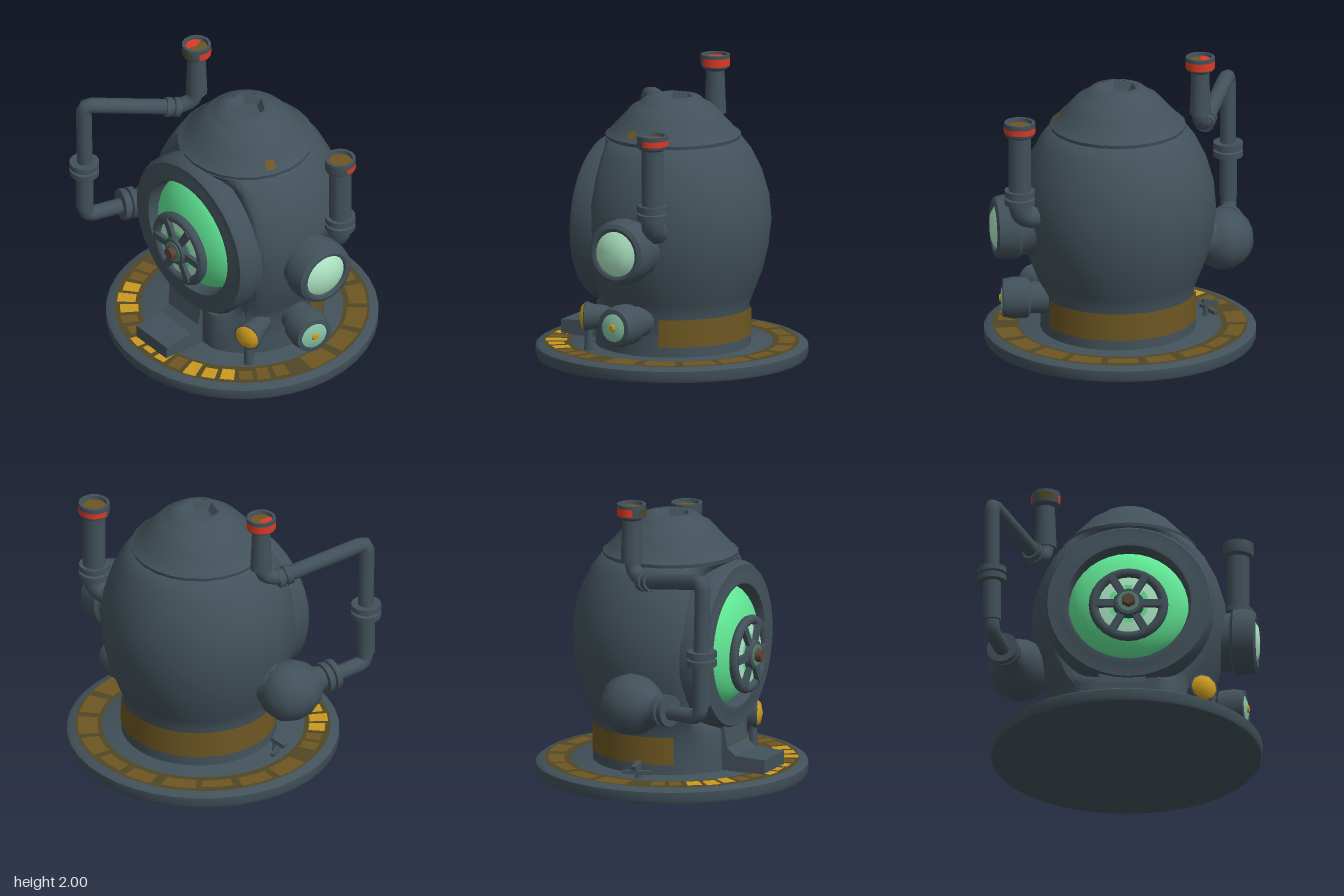
import * as THREE from 'three';
import { toCreasedNormals } from 'three/addons/utils/BufferGeometryUtils.js';

const mat = (name, color) => {
  const m = new THREE.MeshStandardMaterial({ color });
  m.name = name;
  return m;
};

export function createModel() {
  const slate = mat('slate metal', 0x42515a);
  const green = mat('bright green glass', 0x60e694);
  const pale = mat('pale green glass', 0xaee6c4);
  const mid = mat('mid green glass', 0x88c8a6);
  const teal = mat('dull teal', 0x55806f);
  const red = mat('red paint', 0xdc3a24);
  const yellow = mat('yellow paint', 0xc9991f);
  const brown = mat('old gold', 0x6d5622);
  const olive = mat('dark olive', 0x4f4724);
  const rust = mat('rust', 0x5c4338);

  const root = new THREE.Group();
  root.name = 'divingHelmet';
  const UP = new THREE.Vector3(0, 1, 0);
  const Y = [0, 1, 0], Z = [0, 0, 1];
  const vec2 = pts => pts.map(p => new THREE.Vector2(...p));

  const add = (name, geo, material, pos = [0, 0, 0], parent = root) => {
    const mesh = new THREE.Mesh(geo, material);
    mesh.name = name;
    mesh.position.set(...pos);
    parent.add(mesh);
    return mesh;
  };
  // Turned part: profile of [radius, height] along the given axis
  const turned = (name, pts, material, pos, axis = Y, segs = 24, crease = 0.7, parent = root) => {
    const lathe = new THREE.LatheGeometry(vec2(pts), segs);
    const mesh = add(name, toCreasedNormals(lathe, crease), material, pos, parent);
    mesh.quaternion.setFromUnitVectors(UP, new THREE.Vector3(...axis).normalize());
    return mesh;
  };
  // Pipe through points with rounded corners
  const pipe = (name, pts, radius, bend = 0.09) => {
    const v = pts.map(p => new THREE.Vector3(...p));
    const path = new THREE.CurvePath();
    let last = v[0];
    for (let i = 1; i < v.length - 1; i++) {
      const a = v[i].clone().add(v[i - 1].clone().sub(v[i]).setLength(bend));
      const b = v[i].clone().add(v[i + 1].clone().sub(v[i]).setLength(bend));
      path.add(new THREE.LineCurve3(last, a));
      path.add(new THREE.QuadraticBezierCurve3(a, v[i], b));
      last = b;
    }
    path.add(new THREE.LineCurve3(last, v[v.length - 1]));
    return add(name, new THREE.TubeGeometry(path, 64, radius, 12), slate);
  };
  // Double-ringed pipe joint
  const coupling = (name, pos, r, axis = Y) => turned(name,
    [[0, -0.05], [r, -0.05], [r, -0.01], [r * 0.8, -0.005], [r * 0.8, 0.005], [r, 0.01], [r, 0.05], [0, 0.05]],
    slate, pos, axis, 14);
  // Open pipe mouth, and painted marks round its rim
  const headMark = (name, r, height, start, length, material, pos) =>
    add(name, new THREE.CylinderGeometry(r * 1.02, r * 1.01, height, 14, 1, true, start, length), material, pos);
  const pipeHead = (name, [x, y, z], r) => {
    turned(name + 'Cup', [[r * 0.65, -0.11], [r * 0.95, -0.09], [r, -0.07], [r, 0], [r * 0.8, 0], [r * 0.75, -0.03]],
      slate, [x, y, z], Y, 14);
    turned(name + 'Inside', [[r * 0.78, -0.025], [0, -0.025]], brown, [x, y, z], Y, 14);
  };

  // Round base with worn gold patches: broad at the back, small and bright at the front
  turned('base', [[0, 0], [0.92, 0], [0.93, 0.02], [0.93, 0.08], [0.9, 0.1], [0, 0.1]], slate, [0.04, 0, 0], Y, 40);
  const flatArc = (r0, r1, a, len, segs) => new THREE.RingGeometry(r0, r1, segs, 1, a, len).rotateX(-Math.PI / 2);
  add('baseBand', flatArc(0.69, 0.87, 0, Math.PI * 2, 48), olive, [0.04, 0.103, 0]);
  let seed = 7;
  const rand = () => (seed = (seed * 16807) % 2147483647) / 2147483647;
  const patchRow = (name, pattern, start, span, fill) => {
    const step = span / pattern.length;
    [...pattern].forEach((c, i) => {
      const inner = 0.705 + rand() * 0.04, outer = 0.82 + rand() * 0.045;
      add(name, flatArc(inner, outer, start + i * step, step * (fill + rand() * 0.15), 4),
        c === 'y' ? yellow : brown, [0.04, 0.107, 0]);
    });
  };
  patchRow('backPatch', 'bbbbbbbbbb', -0.1, Math.PI + 0.2, 0.72);
  patchRow('frontPatch', 'bbyyybbyyybyyybbb', Math.PI + 0.25, Math.PI - 0.5, 0.65);

  // Bulbous body, cut flat behind the porthole
  const profile = [[0.53, 0.09], [0.525, 0.2], [0.52, 0.38], [0.555, 0.47], [0.61, 0.61], [0.65, 0.78],
    [0.67, 0.95], [0.655, 1.13], [0.605, 1.3], [0.535, 1.44], [0.465, 1.53], [0.3, 1.56]];
  const bodyGeo = new THREE.LatheGeometry(vec2(profile), 64);
  const bp = bodyGeo.attributes.position;
  for (let i = 0; i < bp.count; i++) {
    const y = bp.getY(i);
    bp.setZ(i, Math.min(bp.getZ(i), y > 0.45 && y < 1.5 ? 0.35 : 0.48));
  }
  add('body', toCreasedNormals(bodyGeo, 0.8), slate, [0.06, 0, -0.02]);
  add('footBand', new THREE.CylinderGeometry(0.531, 0.534, 0.19, 30, 1, true, Math.PI / 2 + 0.28, Math.PI + 0.19),
    brown, [0.06, 0.265, -0.02]);

  // Cap with six-sided hollow on top
  turned('cap', [[0.4, 1.5], [0.46, 1.53], [0.465, 1.555], [0.435, 1.575], [0.405, 1.61], [0.33, 1.69], [0.28, 1.745],
    [0.25, 1.76], [0.22, 1.78], [0.185, 1.81], [0.14, 1.82]], slate, [0.06, 0, -0.02], Y, 24);
  turned('capHollow', [[0.16, 1.818], [0.135, 1.818], [0.1, 1.77], [0, 1.765]], slate, [0.06, 0, -0.02], Y, 6, 0.3);
  add('capWornPatch', new THREE.LatheGeometry(vec2([[0.437, 1.58], [0.395, 1.628]]), 3, Math.PI / 2 - 0.36, 0.16),
    brown, [0.06, 0, -0.02]);

  // Front porthole: deep frame with domed glass set back inside it
  turned('portholeFrame', [[0.53, 0.05], [0.575, 0.3], [0.58, 0.45], [0.555, 0.49], [0.47, 0.49], [0.45, 0.497],
    [0.425, 0.495], [0.412, 0.46], [0.408, 0.34]], slate, [0.06, 0.935, 0], Z, 36);
  const dome = [];
  for (let i = 0; i <= 10; i++) {
    const t = (i / 10) * Math.PI / 2;
    dome.push([0.412 * Math.cos(t), 0.365 + 0.2 * Math.sin(t)]);
  }
  turned('portholeGlass', dome, green, [0.06, 0.935, 0], Z, 36, 1);

  // Six-spoked handwheel over the glass
  const wheel = new THREE.Group();
  wheel.name = 'handwheel';
  wheel.position.set(0.06, 0.88, 0.565);
  root.add(wheel);
  add('wheelRim', new THREE.TorusGeometry(0.238, 0.034, 8, 28), slate, [0, 0, 0], wheel);
  turned('wheelPanes', [[0.235, -0.005], [0.17, 0.008], [0.05, 0.015]], pale, [0, 0, 0], Z, 28, 0.7, wheel);
  for (let i = 0; i < 6; i++) {
    const turn = i * Math.PI / 3;
    add('spoke', new THREE.BoxGeometry(0.17, 0.05, 0.04).translate(0.155, 0, 0.02).rotateZ(turn), slate, [0, 0, 0], wheel);
    // Bright inner part of each pane
    add('paneGlint', new THREE.RingGeometry(0.11, 0.14, 4, 1, turn + 0.3, 0.45), green, [0, 0, 0.018], wheel);
  }
  add('wheelHub', new THREE.CylinderGeometry(0.095, 0.115, 0.06, 12).rotateX(Math.PI / 2), slate, [0, 0, 0.03], wheel);
  add('hubFace', new THREE.CylinderGeometry(0.075, 0.075, 0.008, 12).rotateX(Math.PI / 2), teal, [0, 0, 0.062], wheel);
  add('hubBolt', new THREE.CylinderGeometry(0.042, 0.05, 0.04, 6).rotateX(Math.PI / 2), rust, [0, 0, 0.085], wheel);

  // Front step with a sloped apron
  const step = new THREE.Shape(vec2([[0.4, 0.09], [0.78, 0.09], [0.78, 0.2], [0.56, 0.21], [0.5, 0.26], [0.47, 0.42], [0.4, 0.42]]));
  const stepGeo = new THREE.ExtrudeGeometry(step, { depth: 0.32, bevelEnabled: false }).rotateY(-Math.PI / 2);
  add('frontStep', stepGeo, slate, [0.175, 0, 0]);

  // Side window on the left, turned slightly forward
  const windowPos = [0, 0.87, -0.08], windowAxis = [1, 0, 0.07];
  turned('sideWindowFrame', [[0.25, 0.55], [0.2, 0.68], [0.2, 0.76], [0.225, 0.78], [0.225, 0.86], [0.21, 0.92],
    [0.18, 0.935], [0.16, 0.93], [0.155, 0.91]], slate, windowPos, windowAxis, 22);
  turned('sideWindowGlass', [[0.16, 0.91], [0.1, 0.945], [0, 0.955]], pale, windowPos, windowAxis, 22);

  // Short chimney pipe on the left
  pipe('leftPipe', [[0.6, 0.98, -0.2], [0.8, 1.02, -0.24], [0.8, 1.63, -0.24]], 0.078);
  coupling('leftPipeCoupling', [0.8, 1.16, -0.24], 0.105);
  pipeHead('leftPipeHead', [0.8, 1.7, -0.24], 0.107);
  headMark('leftPipeRedMark', 0.107, 0.04, Math.PI / 2 - 0.2, Math.PI + 0.2, red, [0.8, 1.65, -0.24]);

  // Lower left porthole lamp, turned slightly forward
  const lowPos = [0, 0.34, -0.13], lowAxis = [1, 0, 0.19];
  turned('lowerLamp', [[0.11, 0.45], [0.11, 0.68], [0.14, 0.7], [0.145, 0.8], [0.13, 0.87], [0.1, 0.875], [0.095, 0.865]],
    slate, lowPos, lowAxis, 16);
  turned('lowerLampGlass', [[0.1, 0.866], [0.06, 0.88], [0, 0.885]], mid, lowPos, lowAxis, 16);
  turned('lowerLampCentre', [[0.03, 0.882], [0.02, 0.895], [0, 0.895]], yellow, lowPos, lowAxis, 8);

  // Small yellow headlamp on a post
  const lampAxis = [0.4, 0, 1], lampPos = [0.565, 0.335, 0.375];
  turned('headlamp', [[0.07, -0.2], [0.085, -0.04], [0.1, 0], [0.1, 0.02], [0.09, 0.025]], slate, lampPos, lampAxis, 12);
  turned('headlampGlass', [[0.091, 0.023], [0.07, 0.045], [0, 0.06]], yellow, lampPos, lampAxis, 10);
  add('headlampPost', new THREE.CylinderGeometry(0.025, 0.035, 0.2, 8), slate, [0.56, 0.19, 0.37]);

  // Right side valve drum feeding the tall bent pipe
  turned('valveNeck', [[0.17, 0], [0.15, 0.1], [0.17, 0.2]], slate, [-0.42, 0.71, 0.0], [-1, -0.25, 0.05], 16);
  const drumAxis = [-0.3, 0.05, 1];
  turned('valveDrum', [[0, -0.2], [0.1, -0.19], [0.18, -0.12], [0.21, -0.02], [0.2, 0.08], [0.15, 0.17], [0.1, 0.21], [0.08, 0.27]],
    slate, [-0.69, 0.64, 0.03], drumAxis, 18);
  coupling('valveCoupling', [-0.79, 0.65, 0.33], 0.11, drumAxis);
  pipe('tallPipe', [[-0.77, 0.64, 0.25], [-0.87, 0.65, 0.63], [-0.87, 1.6, 0.65], [-0.57, 1.48, 0.07], [-0.51, 1.53, -0.04], [-0.51, 1.92, -0.05]],
    0.054, 0.055);
  add('tallPipeLower', new THREE.CylinderGeometry(0.062, 0.062, 0.3, 12), slate, [-0.87, 0.88, 0.64]);
  coupling('tallPipeCoupling', [-0.87, 1.065, 0.643], 0.103);
  coupling('tallPipeElbow', [-0.585, 1.485, 0.1], 0.07, [0.46, -0.18, -0.87]);
  add('tallPipeUpper', new THREE.CylinderGeometry(0.062, 0.075, 0.32, 12), slate, [-0.51, 1.75, -0.05]);
  const tallMark = [-0.51, 1.95, -0.05];
  pipeHead('tallPipeHead', [-0.51, 2, -0.05], 0.1);
  headMark('tallPipeRedMark', 0.1, 0.055, Math.PI / 2 - 0.5, Math.PI + 1, red, tallMark);
  headMark('tallPipeFrontMark', 0.1, 0.045, -0.6, 1.2, olive, tallMark);
  add('tallPipeRedInside', new THREE.CircleGeometry(0.078, 8, Math.PI * 0.65, Math.PI * 0.75).rotateX(-Math.PI / 2),
    red, [-0.51, 1.98, -0.05]);

  // Small tap on the base
  const tap = [-0.59, 0.1, 0.03];
  add('tapStem', new THREE.CylinderGeometry(0.016, 0.025, 0.1, 8), slate, [tap[0] + 0.02, tap[1] + 0.05, tap[2]]);
  add('tapHandle', new THREE.BoxGeometry(0.11, 0.03, 0.035).rotateZ(0.2), slate, [tap[0] - 0.01, tap[1] + 0.09, tap[2]]);
  add('tapBar', new THREE.BoxGeometry(0.03, 0.025, 0.2).rotateY(0.3), slate, [tap[0], tap[1] + 0.04, tap[2]]);

  return root;
}
